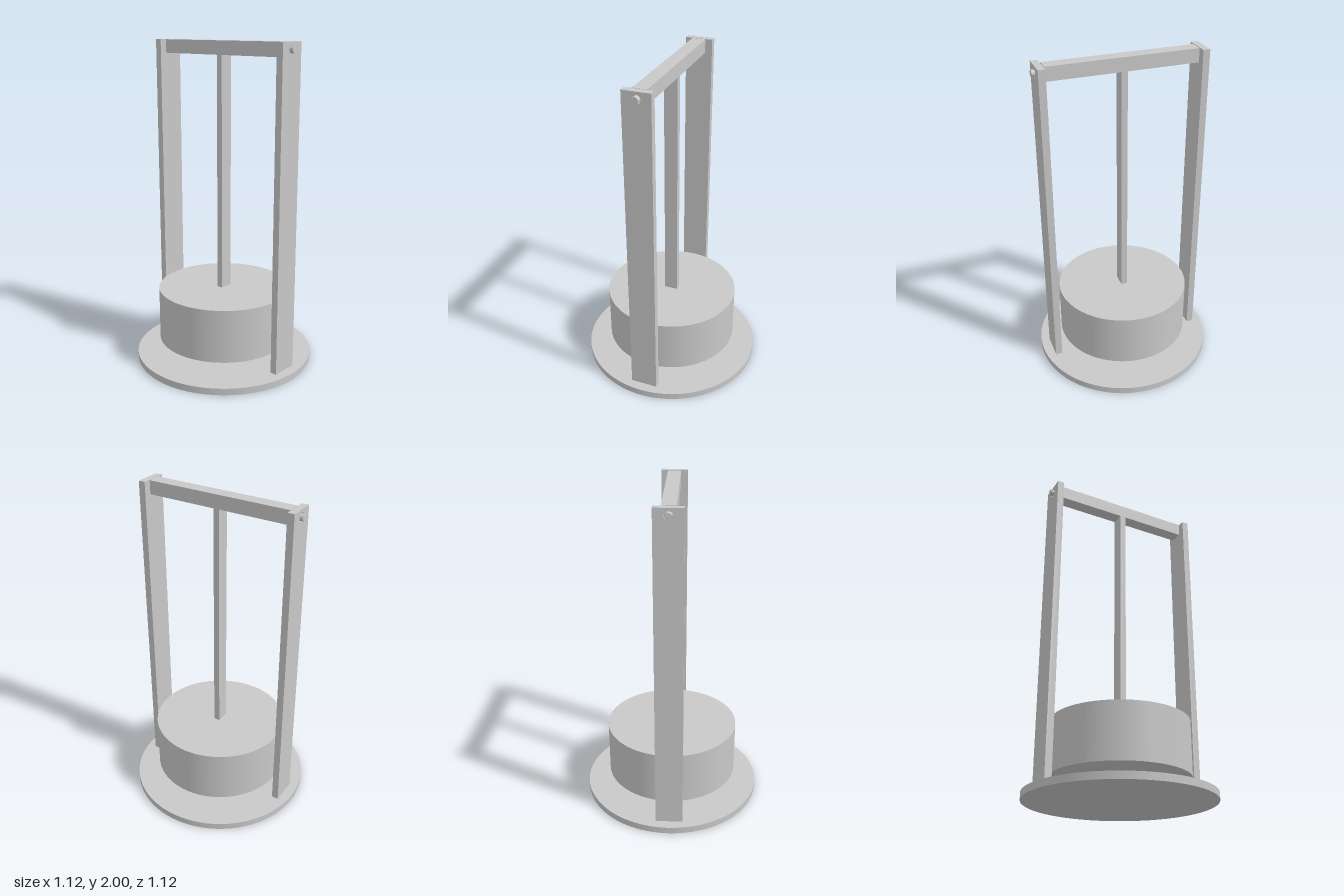
import * as THREE from 'three';

export function createModel() {
  const model = new THREE.Group();
  model.name = 'pivotFrame';
  const grey = new THREE.MeshStandardMaterial({ color: 0xc8c8c8 });
  grey.name = 'light grey';

  const add = (name, geometry, x, y, z) => {
    const mesh = new THREE.Mesh(geometry, grey);
    mesh.name = name;
    mesh.position.set(x, y, z);
    model.add(mesh);
    return mesh;
  };

  const pivotY = 1.958;

  // Round base plate and the hanging drum weight
  add('basePlate', new THREE.CylinderGeometry(0.56, 0.56, 0.042, 96), 0, 0.021, 0);
  add('drumWeight', new THREE.CylinderGeometry(0.415, 0.415, 0.334, 96), 0, 0.299, 0);

  // Swinging crossbar and the rod that carries the drum
  add('crossbar', new THREE.BoxGeometry(0.906, 0.083, 0.082), 0, pivotY, 0);
  add('hangerRod', new THREE.BoxGeometry(0.038, 1.457, 0.082), 0, 1.1925, 0);

  // Flat upright outline with a pivot hole near the top
  const outline = new THREE.Shape();
  outline.moveTo(-0.083, 0.002);
  outline.lineTo(0.083, 0.002);
  outline.lineTo(0.083, 2);
  outline.lineTo(-0.083, 2);
  outline.closePath();
  const hole = new THREE.Path();
  hole.absarc(0, pivotY, 0.025, 0, Math.PI * 2, true);
  outline.holes.push(hole);
  const thickness = 0.042;
  const postGeometry = new THREE.ExtrudeGeometry(outline, {
    depth: thickness, bevelEnabled: false, curveSegments: 32,
  });
  postGeometry.translate(0, 0, -thickness / 2);
  postGeometry.rotateY(Math.PI / 2);

  // Pivot pin, running from the crossbar end out through the post
  const pinGeometry = new THREE.CylinderGeometry(0.02, 0.02, 0.085, 32);
  pinGeometry.rotateZ(Math.PI / 2);

  for (const [side, s] of [['left', 1], ['right', -1]]) {
    add(side + 'Post', postGeometry, s * 0.478, 0, 0);
    add(side + 'PivotPin', pinGeometry, s * 0.4755, pivotY, 0);
  }

  return model;
}
